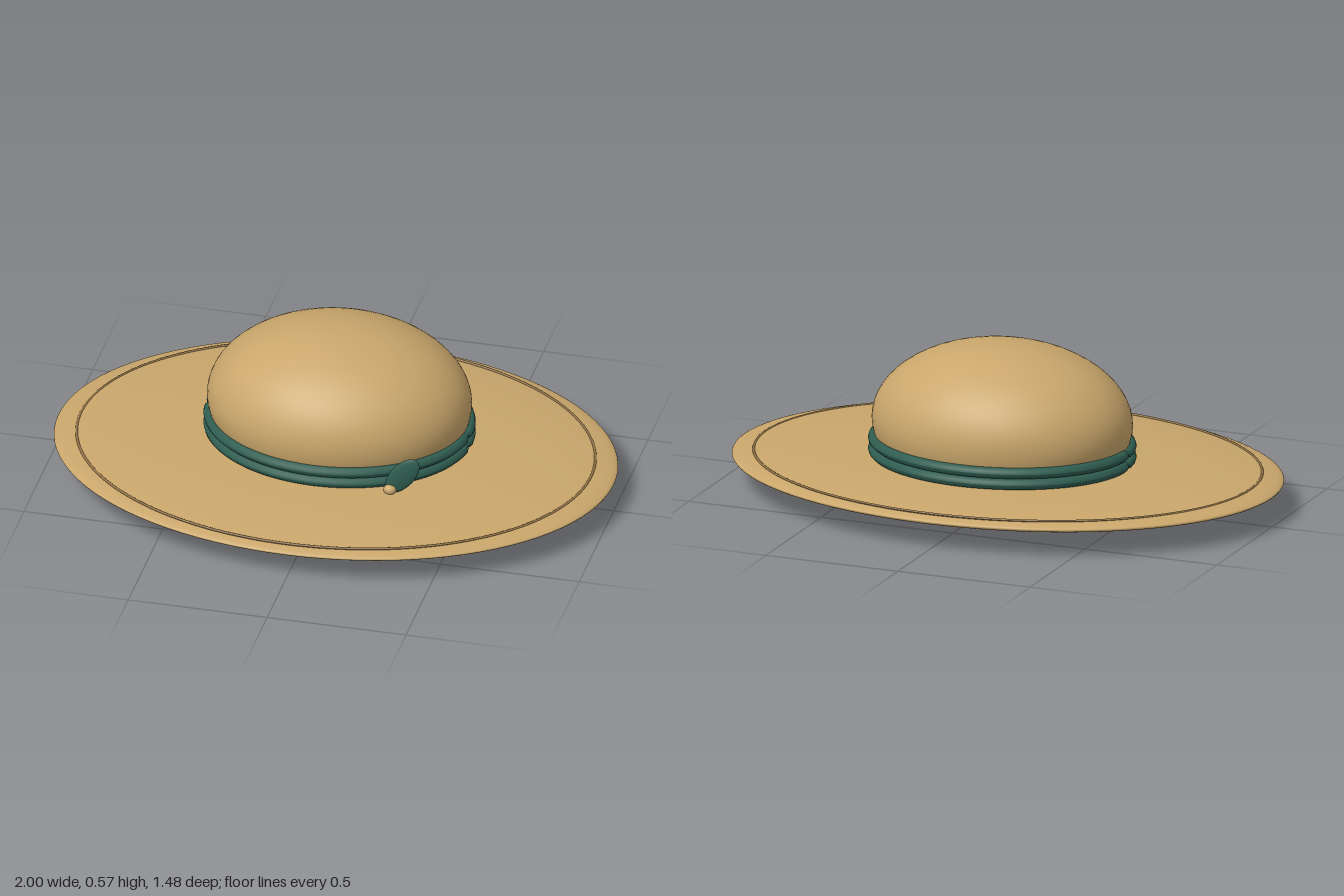
import * as THREE from 'three';

const straw = new THREE.MeshStandardMaterial({ color: 0xc9a66b });
straw.name = 'straw';
const stitch = new THREE.MeshStandardMaterial({ color: 0x8f7146 });
stitch.name = 'stitching';
const ribbon = new THREE.MeshStandardMaterial({ color: 0x2f5d50 });
ribbon.name = 'green ribbon';

// Smooth ellipsoid given by its centre and half sizes
function ellipsoid(name, material, position, radii, segments = 64) {
  const geometry = new THREE.SphereGeometry(1, segments, segments / 2);
  geometry.scale(...radii);
  const mesh = new THREE.Mesh(geometry, material);
  mesh.name = name;
  mesh.position.set(...position);
  return mesh;
}

// Horizontal elliptical ring; radiusAt(x, z) gives the tube radius around the loop
function ring(name, material, position, rx, rz, radiusAt, segments = 160, sides = 12) {
  const positions = [], indices = [];
  for (let i = 0; i <= segments; i++) {
    const a = (i / segments) * Math.PI * 2;
    const centre = new THREE.Vector3(rx * Math.cos(a), 0, rz * Math.sin(a));
    const outward = new THREE.Vector3(rz * Math.cos(a), 0, rx * Math.sin(a)).normalize();
    const r = radiusAt(centre.x, centre.z);
    for (let j = 0; j <= sides; j++) {
      const b = (j / sides) * Math.PI * 2;
      const p = centre.clone().addScaledVector(outward, r * Math.cos(b));
      positions.push(p.x, r * Math.sin(b), p.z);
      if (i < segments && j < sides) {
        const k = i * (sides + 1) + j, n = k + sides + 1;
        indices.push(k, k + 1, n, n, k + 1, n + 1);
      }
    }
  }
  const geometry = new THREE.BufferGeometry();
  geometry.setAttribute('position', new THREE.Float32BufferAttribute(positions, 3));
  geometry.setIndex(indices);
  geometry.computeVertexNormals();
  const mesh = new THREE.Mesh(geometry, material);
  mesh.name = name;
  mesh.position.set(...position);
  return mesh;
}

export function createModel() {
  const hat = new THREE.Group();
  hat.name = 'sunHat';

  // Wide lens-shaped brim and domed crown set slightly back
  hat.add(ellipsoid('brim', straw, [0, 0.11, 0], [1, 0.055, 0.738], 96));
  hat.add(ellipsoid('crown', straw, [0, 0.29, -0.052], [0.468, 0.286, 0.388]));

  // Fine raised stitching near the brim edge
  hat.add(ring('brimStitching', stitch, [0, 0.13, 0], 0.918, 0.699, () => 0.005, 160, 8));

  // Two ribbon cords, pinched at the side seams
  const pinch = (x, z) => 0.02 * (1 - 0.5 * Math.max(0, 1 - Math.abs(z - 0.022) / 0.025));
  for (const [name, y] of [['lowerBand', 0.176], ['upperBand', 0.216]]) {
    hat.add(ring(name, ribbon, [0, y, -0.052], 0.46, 0.381, pinch));
  }

  // Leaf ornament with a small bead at its foot
  const leaf = ellipsoid('leaf', ribbon, [0.315, 0.224, 0.305], [0.042, 0.085, 0.012], 32);
  leaf.rotation.z = -0.66;
  hat.add(leaf);
  hat.add(ellipsoid('bead', straw, [0.272, 0.168, 0.314], [0.023, 0.019, 0.02], 24));

  return hat;
}
